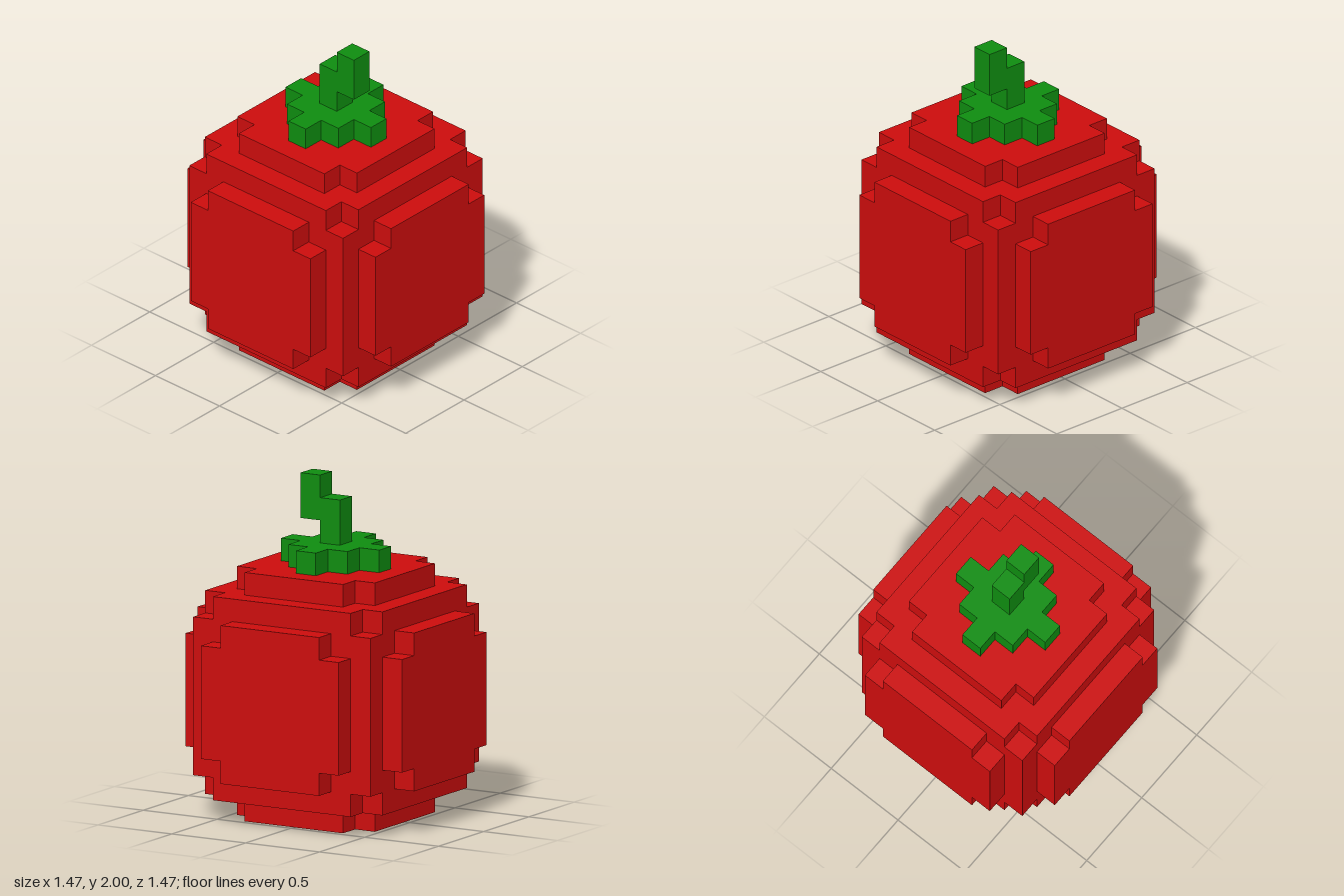
import * as THREE from 'three';

const U = 2 / 15; // edge of one block

// Extrudes an outline given in blocks, centred on its depth
function slab(points, depth) {
  const shape = new THREE.Shape(points.map(([x, y]) => new THREE.Vector2(x * U, y * U)));
  const geometry = new THREE.ExtrudeGeometry(shape, { depth: depth * U, bevelEnabled: false });
  return geometry.translate(0, 0, -depth * U / 2);
}

// Square of half-width a whose corners are cut back to half-width b
function notched(a, b) {
  return [
    [a, -b], [a, b], [b, b], [b, a], [-b, a], [-b, b],
    [-a, b], [-a, -b], [-b, -b], [-b, -a], [b, -a], [b, -b],
  ];
}

export function createModel() {
  const red = new THREE.MeshStandardMaterial({ color: 0xcc0d0d });
  red.name = 'fruitRed';
  const green = new THREE.MeshStandardMaterial({ color: 0x0f8c10 });
  green.name = 'leafGreen';

  const model = new THREE.Group();
  model.name = 'blockFruit';
  const add = (name, geometry, material, y) => {
    const mesh = new THREE.Mesh(geometry, material);
    mesh.name = name;
    mesh.position.y = y * U;
    model.add(mesh);
    return mesh;
  };

  // Core: a nine-block cube with its eight corner blocks missing
  add('core', new THREE.BoxGeometry(9 * U, 7 * U, 9 * U), red, 5.5);
  const layer = slab(notched(4.5, 3.5), 1).rotateX(-Math.PI / 2);
  add('coreTop', layer, red, 9.5);
  add('coreBottom', layer, red, 1.5);

  // Raised plates on all six faces
  const plate = slab(notched(3.5, 2.5), 1);
  ['frontPlate', 'leftPlate', 'backPlate', 'rightPlate'].forEach((name, i) => {
    const angle = i * Math.PI / 2;
    const mesh = add(name, plate, red, 5.5);
    mesh.rotation.y = angle;
    mesh.position.x = Math.sin(angle) * 5 * U;
    mesh.position.z = Math.cos(angle) * 5 * U;
  });
  const flatPlate = plate.clone().rotateX(-Math.PI / 2);
  add('topPlate', flatPlate, red, 10.5);
  add('bottomPlate', flatPlate, red, 0.5);

  // Leaf: three-block square with one block reaching out on each side
  const leaf = [];
  for (let i = 0; i < 4; i++) {
    const c = [1, 0, -1, 0][i], s = [0, 1, 0, -1][i];
    for (const [x, y] of [[1.5, -0.5], [2.5, -0.5], [2.5, 0.5], [1.5, 0.5], [1.5, 1.5]]) {
      leaf.push([x * c - y * s, x * s + y * c]);
    }
  }
  add('leaf', slab(leaf, 1).rotateX(-Math.PI / 2), green, 11.5);

  // Stem: steps one block towards the left at its top
  const stem = [
    [-0.5, 0], [0.5, 0], [0.5, 1], [1.5, 1],
    [1.5, 3], [0.5, 3], [0.5, 2], [-0.5, 2],
  ];
  add('stem', slab(stem, 1), green, 12);

  return model;
}
